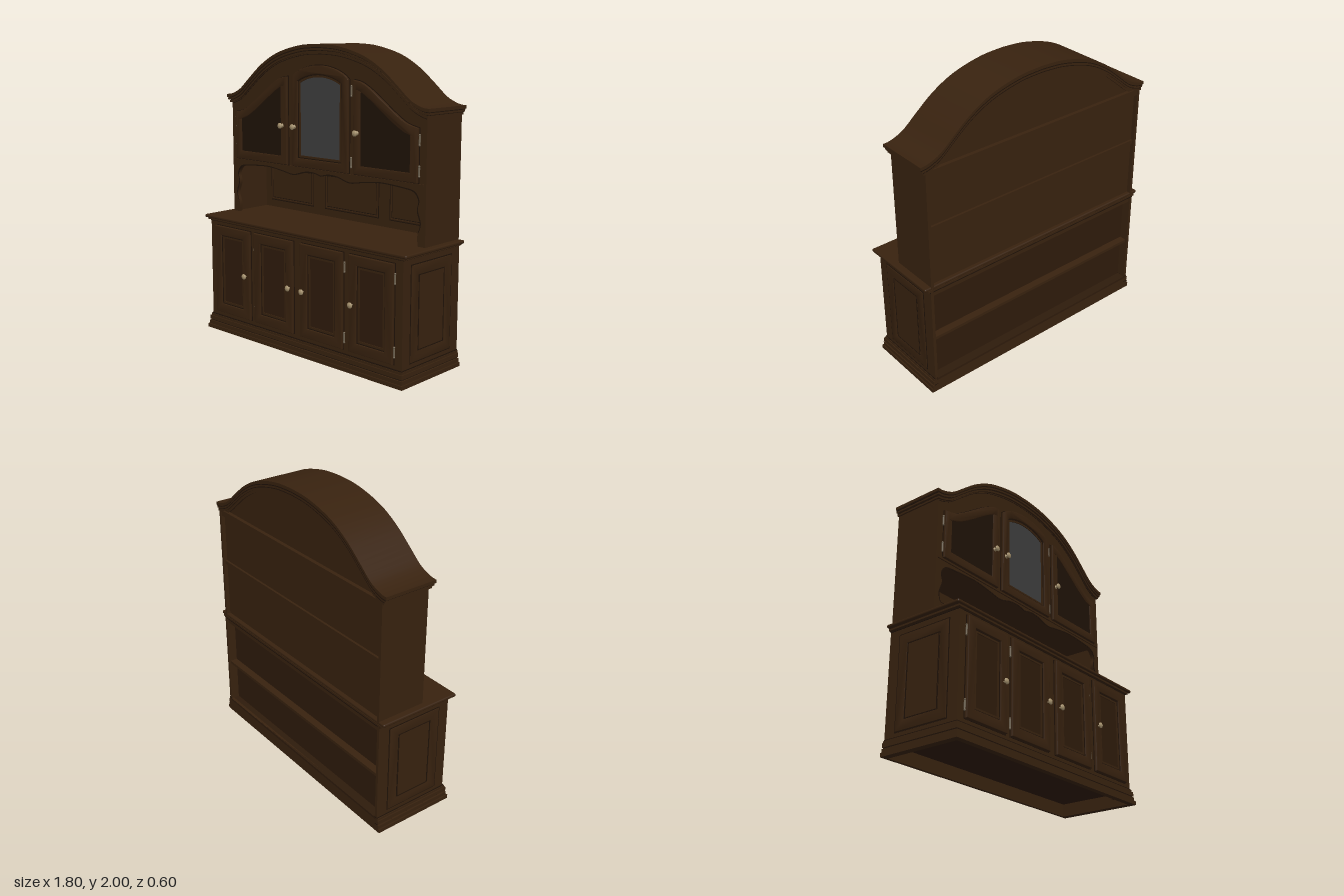
import * as THREE from 'three';
import { toCreasedNormals } from 'three/addons/utils/BufferGeometryUtils.js';
import { RoundedBoxGeometry } from 'three/addons/geometries/RoundedBoxGeometry.js';

const mat = (name, color) => new THREE.MeshStandardMaterial({ name, color });
const BACK = -0.297;

// Crown outline height for any x, from half of a symmetric curve
const crownCurve = new THREE.SplineCurve([[0, 2], [0.15, 1.991], [0.3, 1.96], [0.42, 1.918], [0.54, 1.85],
  [0.65, 1.764], [0.74, 1.69], [0.8, 1.66], [0.85, 1.645], [0.89, 1.643]].map(p => new THREE.Vector2(...p)));
const crownPts = crownCurve.getPoints(90);
function crownY(x) {
  const a = Math.abs(x);
  const i = Math.max(1, crownPts.findIndex(p => p.x >= a));
  const p = crownPts[i - 1], q = crownPts[i];
  return p.y + (q.y - p.y) * (a - p.x) / (q.x - p.x);
}
// Points under the crown from -w to w, lowered by drop
function crownLine(w, drop) {
  return Array.from({ length: 61 }, (_, i) => {
    const x = -w + 2 * w * i / 60;
    return [x, crownY(x) - drop];
  });
}

// Move a counter-clockwise outline inwards by d
function inset(pts, d) {
  const n = pts.length;
  return pts.map((p, i) => {
    const a = pts[(i + n - 1) % n], b = pts[(i + 1) % n];
    const l1 = Math.hypot(p[0] - a[0], p[1] - a[1]), l2 = Math.hypot(b[0] - p[0], b[1] - p[1]);
    const n1 = [-(p[1] - a[1]) / l1, (p[0] - a[0]) / l1], n2 = [-(b[1] - p[1]) / l2, (b[0] - p[0]) / l2];
    const k = d / (1 + n1[0] * n2[0] + n1[1] * n2[1]);
    return [p[0] + (n1[0] + n2[0]) * k, p[1] + (n1[1] + n2[1]) * k];
  });
}
const rect = (x0, x1, y0, y1) => [[x0, y0], [x1, y0], [x1, y1], [x0, y1]];
const toV = pts => pts.map(p => new THREE.Vector2(...p));

export function createModel() {
  const root = new THREE.Group();
  root.name = 'hutchCabinet';
  const wood = mat('walnut', 0x38220f), panelWood = mat('darkWalnut', 0x2e1b0b);
  const groove = mat('grooveBrown', 0x1f1207), glass = mat('smokedGlass', 0x3e3e3e);
  const brass = mat('agedBrass', 0xa8946f), hingeMetal = mat('hingeMetal', 0x6f6350);

  function add(name, geo, material, parent = root) {
    const m = new THREE.Mesh(geo, material);
    m.name = name;
    parent.add(m);
    return m;
  }
  function box(name, x0, x1, y0, y1, z0, z1, material = wood) {
    const m = add(name, new THREE.BoxGeometry(x1 - x0, y1 - y0, z1 - z0), material);
    m.position.set((x0 + x1) / 2, (y0 + y1) / 2, (z0 + z1) / 2);
    return m;
  }
  function plate(name, pts, z0, z1, material, hole, parent = root, bevel = 0) {
    const shape = new THREE.Shape(toV(pts));
    if (hole) shape.holes.push(new THREE.Path(toV(hole)));
    const geo = new THREE.ExtrudeGeometry(shape, {
      depth: z1 - z0 - bevel, bevelEnabled: bevel > 0, bevelSize: bevel, bevelOffset: -bevel,
      bevelThickness: bevel, bevelSegments: 2,
    });
    geo.translate(0, 0, z0);
    return add(name, toCreasedNormals(geo, 0.5), material, parent);
  }
  // Framed door: dark reveal, bevelled frame, inner bead and a centre pane
  function door(name, pts, z, width, paneMaterial) {
    const g = new THREE.Group();
    g.name = name;
    root.add(g);
    plate('doorReveal', inset(pts, -0.005), z, z + 0.003, groove, null, g);
    plate('doorFrame', pts, z, z + 0.021, wood, inset(pts, width - 0.022), g, 0.005);
    plate('doorBeadShadow', inset(pts, width - 0.024), z, z + 0.013, groove, inset(pts, width - 0.016), g);
    plate('doorBead', inset(pts, width - 0.017), z, z + 0.011, wood, inset(pts, width - 0.003), g);
    plate('doorPane', inset(pts, width - 0.004), z + 0.003, z + 0.006, paneMaterial, null, g);
  }
  // Moulded rectangular panel, lying in the xy plane
  function raisedPanel(name, pts, z, gap) {
    const g = new THREE.Group();
    g.name = name;
    root.add(g);
    plate('panelGroove', pts, z, z + 0.001, groove, inset(pts, 0.007), g);
    plate('panelMoulding', inset(pts, 0.007), z, z + 0.005, wood, inset(pts, gap), g, 0.002);
    plate('panelInnerGroove', inset(pts, gap), z, z + 0.001, groove, inset(pts, gap + 0.006), g);
    plate('panelField', inset(pts, gap + 0.006), z, z + 0.003, wood, null, g);
    return g;
  }

  // Lower cabinet carcass, open underneath
  box('lowerFront', -0.86, 0.86, 0.02, 0.795, 0.225, 0.25);
  for (const s of [-1, 1]) {
    const x = s * 0.85;
    box('lowerSide', x - 0.01, x + 0.01, 0.02, 0.795, BACK, 0.235);
    const p = raisedPanel('sidePanel', rect(-0.18, 0.22, 0.13, 0.74), 0, 0.07);
    p.rotation.y = s * Math.PI / 2;
    p.position.x = s * 0.86;
    if (s < 0) p.children.forEach(c => c.geometry.translate(-0.04, 0, 0));
    const inner = plate('sidePanelLine', rect(-0.125, 0.125, 0.2, 0.67), 0.003, 0.0045, groove,
      inset(rect(-0.125, 0.125, 0.2, 0.67), 0.006), p);
    inner.position.x = s > 0 ? 0.02 : -0.02;
  }
  box('lowerBackPanel', -0.85, 0.85, 0.09, 0.795, -0.235, -0.225, panelWood);
  box('lowerFloor', -0.85, 0.85, 0.085, 0.1, BACK, 0.23, panelWood);
  box('lowerShelf', -0.84, 0.84, 0.4, 0.42, -0.285, -0.23);
  box('lowerBackRail', -0.84, 0.84, 0.74, 0.795, BACK + 0.01, -0.23);
  box('plinthBackRail', -0.86, 0.86, 0, 0.1, BACK, BACK + 0.02);

  // Stepped plinth moulding on the front and sides
  [[0, 0.025, 0.885], [0.025, 0.05, 0.877], [0.05, 0.058, 0.867, 1], [0.058, 0.085, 0.874], [0.085, 0.1, 0.867],
    [0.1, 0.106, 0.863, 1]].forEach(([y0, y1, w, dark]) => {
    const m = dark ? groove : wood, z = w - 0.606;
    box('plinthFront', -w, w, y0, y1, 0.24, z, m);
    for (const s of [-1, 1]) box('plinthSide', Math.min(s * 0.84, s * w), Math.max(s * 0.84, s * w), y0, y1, BACK, 0.24, m);
  });

  // Worktop with a rounded nose
  const top = add('worktop', new RoundedBoxGeometry(1.8, 0.022, 0.573, 3, 0.009), wood);
  top.position.set(0, 0.805, -0.0105);
  box('worktopMoulding', -0.878, 0.878, 0.782, 0.796, BACK, 0.263);
  box('worktopShadowLine', -0.864, 0.864, 0.775, 0.782, BACK, 0.253, groove);

  // Lower doors
  for (const [x0, x1] of [[-0.8, -0.45], [-0.405, -0.04], [0.03, 0.395], [0.45, 0.8]])
    door('lowerDoor', rect(x0, x1, 0.135, 0.75), 0.25, 0.085, panelWood);

  // Upper carcass and its arched back
  for (const s of [-1, 1]) box('upperSide', s * 0.845 - 0.01, s * 0.845 + 0.01, 0.81, 1.62, BACK, 0.03);
  plate('upperBackPanel', [[-0.85, 0.81], [0.85, 0.81], ...crownLine(0.85, 0.03).reverse()], -0.27, -0.255, wood);
  box('upperFloor', -0.84, 0.84, 1.185, 1.2, -0.26, 0.025);
  box('backRail', -0.84, 0.84, 1.2, 1.225, -0.285, -0.265);
  box('backTopRail', -0.845, 0.845, 1.56, 1.6, BACK + 0.002, -0.265);
  for (const [x0, x1] of [[-0.78, -0.35], [-0.245, 0.245], [0.335, 0.77]])
    raisedPanel('nichePanel', rect(x0, x1, 0.865, 1.12), -0.255, 0.018);

  // Face frame: curved side brackets and a scalloped valance
  const half = new THREE.SplineCurve(toV([[0.8, 0.815], [0.795, 0.88], [0.815, 0.95], [0.79, 1.03], [0.8, 1.09],
    [0.765, 1.14], [0.68, 1.155], [0.5, 1.165], [0.36, 1.15], [0.25, 1.135], [0.15, 1.16], [0.07, 1.165],
    [0, 1.15]])).getPoints(48).map(p => [p.x, p.y]);
  const arch = [...half, ...half.slice(0, -1).reverse().map(([x, y]) => [-x, y])];
  plate('faceFrame', [[0.855, 0.815], ...crownLine(0.855, 0.03).reverse(), [-0.855, 0.815], ...arch.slice().reverse()],
    0.018, 0.042, wood);
  plate('valanceEdge', [...arch.slice(5, -5), ...arch.slice(5, -5).reverse().map(([x, y]) => [x * 1.008, y + 0.007])],
    0.042, 0.044, groove);
  box('valanceRail', -0.84, 0.84, 1.183, 1.195, 0.04, 0.05);

  // Crown moulding: stepped bands following the arch
  const band = (name, w, d0, d1, z0, z1, m) =>
    plate(name, [...crownLine(w, d1), ...crownLine(w, d0).reverse()], z0, z1, m);
  [[0.886, 0, 0.02, 0.068], [0.88, 0.02, 0.026, 0.06, 1], [0.877, 0.026, 0.038, 0.063],
    [0.868, 0.038, 0.043, 0.052, 1], [0.867, 0.043, 0.056, 0.055]].forEach(([w, d0, d1, z, dark]) =>
    band('crownMoulding', w, d0, d1, BACK, z, dark ? groove : wood));
  band('crownBackRim', 0.85, 0.056, 0.075, -0.285, -0.265, wood);
  band('friezeLine', 0.85, 0.062, 0.066, 0.04, 0.044, groove);

  // Upper glazed doors
  const slope = new THREE.SplineCurve(toV([[0.295, 1.785], [0.36, 1.772], [0.44, 1.73], [0.54, 1.66], [0.64, 1.59],
    [0.72, 1.545], [0.8, 1.525]])).getPoints(18).map(p => [p.x, p.y]);
  const rightDoor = [[0.295, 1.2], [0.8, 1.2], ...slope.slice().reverse()];
  const leftDoor = rightDoor.map(([x, y]) => [-x, y]).reverse();
  const archTop = Array.from({ length: 21 }, (_, i) => {
    const t = 1 - i / 10;
    return [0.25 * t, 1.785 + 0.08 * Math.pow(Math.max(0, 1 - t * t), 0.8)];
  });
  const centreDoor = [[-0.25, 1.2], [0.25, 1.2], ...archTop];
  door('leftGlassDoor', rightDoor, 0.042, 0.078, glass);
  door('centreGlassDoor', centreDoor, 0.042, 0.078, glass);
  door('rightGlassDoor', leftDoor, 0.042, 0.078, glass);

  // Knobs, turned from one profile
  const knobGeo = new THREE.LatheGeometry(toV([[0, 0], [0.014, 0], [0.014, 0.003], [0.006, 0.006], [0.005, 0.014],
    [0.012, 0.018], [0.019, 0.023], [0.019, 0.028], [0.012, 0.033], [0, 0.035]]), 16).rotateX(Math.PI / 2);
  for (const [x, y, z] of [[-0.485, 0.44, 0.265], [-0.065, 0.44, 0.265], [0.06, 0.44, 0.265], [0.48, 0.44, 0.265],
    [-0.335, 1.46, 0.06], [-0.22, 1.46, 0.06], [0.328, 1.46, 0.06]])
    add('knob', knobGeo, brass).position.set(x, y, z);

  // Hinges: a barrel with two finials
  const barrel = new THREE.CylinderGeometry(0.006, 0.006, 0.05, 8), finial = new THREE.SphereGeometry(0.007, 8, 6);
  function hinge(x, y, z) {
    const g = new THREE.Group();
    g.name = 'hinge';
    g.position.set(x, y, z);
    root.add(g);
    add('hingeBarrel', barrel, hingeMetal, g);
    for (const s of [-1, 1]) add('hingeFinial', finial, hingeMetal, g).position.y = s * 0.03;
  }
  for (const x of [-0.803, -0.412, 0.405, 0.805]) for (const y of [0.21, 0.66]) hinge(x, y, 0.256);
  for (const x of [-0.808, 0.806]) for (const y of [1.27, 1.455]) hinge(x, y, 0.048);
  for (const y of [1.27, 1.715]) hinge(0.268, y, 0.048);
  return root;
}
